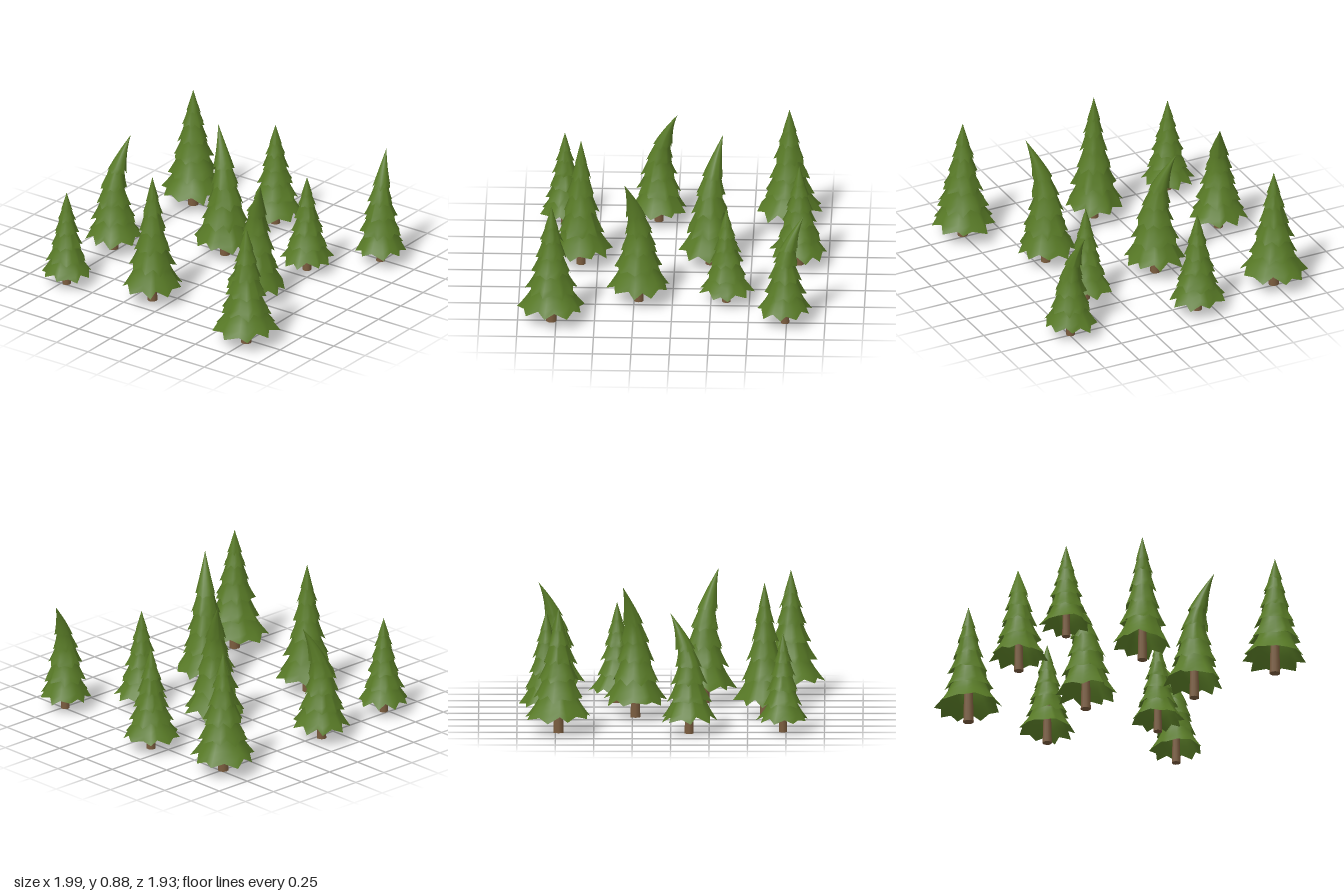
import * as THREE from 'three';

const LOBES = 9;
const needleMat = new THREE.MeshStandardMaterial({ color: 0x587a26, side: THREE.DoubleSide });
const barkMat = new THREE.MeshStandardMaterial({ color: 0x7a5c3e });

// Seeded random numbers, 0 to 1
function seeded(seed) {
  let s = seed * 7919 + 17;
  return () => (s = (s * 16807) % 2147483647) / 2147483647;
}

// One pleated skirt of branches: pointed hem at y0, narrowing to rTop at y1
function skirtGeometry({ y0, y1, r0, rTop, rows, power, lift, bend, rand }) {
  const n = LOBES * 2, pos = [], index = [];
  const turn = rand() * Math.PI * 2;
  const hem = Array.from({ length: n }, (_, j) => ({
    angle: turn + ((j + (rand() - 0.5) * 0.5) / n) * Math.PI * 2,
    reach: (j % 2 ? 0.79 : 0.95) + (rand() - 0.5) * 0.12,
    rise: (j % 2 ? lift : 0) + (rand() - 0.5) * lift * 0.9,
  }));
  for (let i = 0; i <= rows; i++) {
    const v = i / rows, fade = 1 - v;
    const r = rTop + (r0 - rTop) * Math.pow(fade, power);
    for (const h of hem) {
      const rr = r * (1 + (h.reach - 1) * (0.25 + 0.75 * fade));
      const y = y0 + (y1 - y0) * v + h.rise * fade;
      const [bx, bz] = bend(y);
      pos.push(Math.cos(h.angle) * rr + bx, y, Math.sin(h.angle) * rr + bz);
    }
  }
  for (let i = 0; i < rows; i++) {
    for (let j = 0; j < n; j++) {
      const a = i * n + j, b = i * n + ((j + 1) % n);
      index.push(a, a + n, b, b, a + n, b + n);
    }
  }
  const g = new THREE.BufferGeometry();
  g.setAttribute('position', new THREE.Float32BufferAttribute(pos, 3));
  g.setIndex(index);
  g.computeVertexNormals();
  return g;
}

function makeTree({ x, z, r, h, tip }, seed) {
  const tree = new THREE.Group();
  tree.name = 'pineTree' + (seed + 1);
  tree.position.set(x, 0, z);
  const rand = seeded(seed + 1);

  // Curled crowns lean sideways more and more towards the tip
  const bend = (y) => {
    const t = Math.max(0, (y / h - 0.5) / 0.5);
    return tip ? [tip[0] * t ** 1.9, tip[1] * t ** 1.9] : [0, 0];
  };

  // Trunk
  const trunkH = h * 0.55;
  const trunk = new THREE.Mesh(new THREE.CylinderGeometry(r * 0.1, r * 0.16, trunkH, 10), barkMat);
  trunk.name = 'trunk';
  trunk.position.y = trunkH / 2;
  tree.add(trunk);

  // Branch tiers: hem height and radius as shares of the tree
  const tiers = [[0.115, 1], [0.27, 0.77], [0.42, 0.61], [0.56, 0.47], [0.7, 0.345]];
  if (!tip) tiers.push([0.81, 0.22]);
  tiers.forEach(([hy, hr], k) => {
    const next = tiers[k + 1];
    const mesh = new THREE.Mesh(skirtGeometry({
      y0: hy * h,
      y1: next ? (next[0] + 0.05) * h : h,
      r0: hr * r * 1.03,
      rTop: next ? next[1] * r * 0.68 : 0.001,
      rows: next ? 4 : 7,
      power: next ? 1.35 : 1.1,
      lift: 0.035 * h * (0.4 + 0.6 * hr),
      bend, rand,
    }), needleMat);
    mesh.name = next ? 'branchTier' + (k + 1) : 'treeTop';
    tree.add(mesh);
  });
  return tree;
}

export function createModel() {
  const forest = new THREE.Group();
  forest.name = 'pineForest';
  // Position, hem radius, height and sideways lean of the tip
  [
    { x: -0.78, z: 0.75, r: 0.22, h: 0.82 },
    { x: -0.73, z: -0.72, r: 0.175, h: 0.65 },
    { x: -0.12, z: -0.78, r: 0.195, h: 0.78, tip: [0.12, 0.05] },
    { x: 0.73, z: -0.75, r: 0.22, h: 0.82 },
    { x: -0.61, z: -0.12, r: 0.2, h: 0.88 },
    { x: 0.23, z: -0.14, r: 0.21, h: 0.87, tip: [0.08, -0.11] },
    { x: 0.81, z: -0.15, r: 0.195, h: 0.7 },
    { x: -0.22, z: 0.43, r: 0.205, h: 0.87, tip: [-0.09, 0.1] },
    { x: 0.35, z: 0.43, r: 0.18, h: 0.66 },
    { x: 0.74, z: 0.74, r: 0.18, h: 0.745, tip: [0.12, -0.04] },
  ].forEach((spec, i) => forest.add(makeTree(spec, i)));
  return forest;
}
